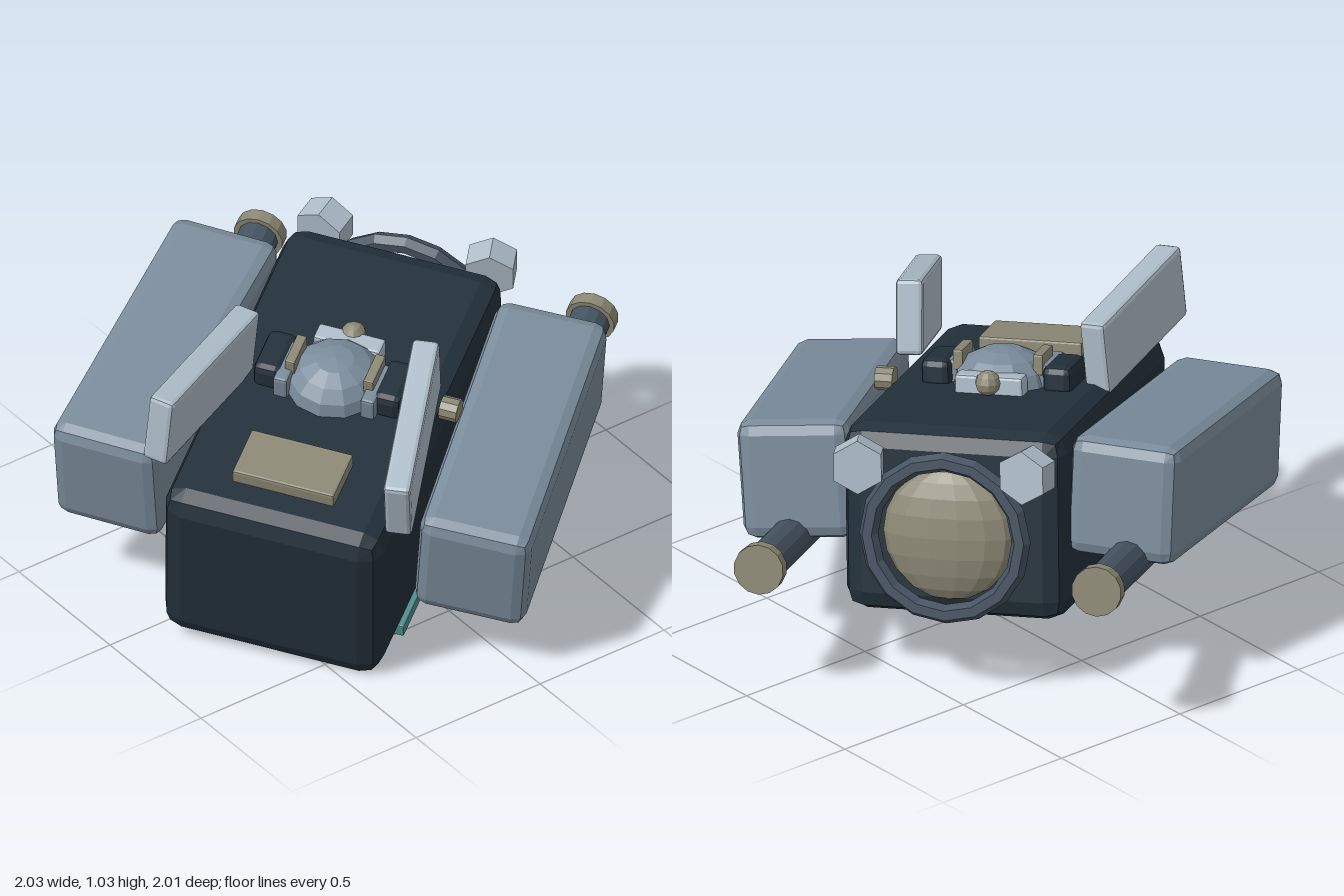
import * as THREE from 'three';
import { RoundedBoxGeometry } from 'three/addons/geometries/RoundedBoxGeometry.js';

const paint = (name, color) => {
  const m = new THREE.MeshStandardMaterial({ color, flatShading: true });
  m.name = name;
  return m;
};

export function createModel() {
  const dark = paint('dark hull', 0x22303a);
  const grey = paint('blue grey', 0x7a8b9a);
  const light = paint('light grey', 0xadbcc8);
  const steel = paint('dark steel', 0x455361);
  const tan = paint('tan', 0x8b8774);
  const teal = paint('teal', 0x4f8c8c);

  const model = new THREE.Group();
  model.name = 'model';
  // Craft frame: nose towards -z, centred on its own middle plane
  const craft = new THREE.Group();
  craft.name = 'craft';
  craft.rotation.set(0.18, 0.602, -0.063, 'YXZ');
  model.add(craft);

  const MID = -0.065;
  function add(name, geometry, material, x, y, z, rx = 0, ry = 0, rz = 0) {
    const mesh = new THREE.Mesh(geometry, material);
    mesh.name = name;
    mesh.position.set(MID + x, y, z);
    mesh.rotation.set(rx, ry, rz, 'YXZ');
    craft.add(mesh);
    return mesh;
  }
  const box = (w, h, d, r) => new RoundedBoxGeometry(w, h, d, 1, r);
  const rod = (r, length, sides) =>
    new THREE.CylinderGeometry(r, r, length, sides).rotateX(Math.PI / 2);

  // Hull with hatch plates above and below
  add('hull', box(0.75, 0.63, 1.315, 0.07), dark, 0, 0.445, 0.057);
  add('topPlate', box(0.35, 0.06, 0.2, 0.008), tan, 0, 0.775, 0.466);
  add('bottomPlate', box(0.37, 0.03, 0.21, 0.005), tan, 0, 0.13, 0.466);

  // Nose lens in a free-standing ring
  add('noseRing', new THREE.TorusGeometry(0.257, 0.032, 6, 16), steel, 0, 0.425, -0.68);
  const lens = add('noseLens', new THREE.SphereGeometry(0.222, 14, 10), tan, 0, 0.425, -0.63);
  lens.scale.z = 0.35;

  // Parts on both sides
  for (const s of [-1, 1]) {
    const side = s > 0 ? 'right' : 'left';
    add(side + 'Pod', box(0.375, 0.4, 1.05, 0.045), grey, s * 0.59, 0.535, 0.0, 0, s * 0.075, s * -0.055);
    add(side + 'Barrel', rod(0.068, 0.78, 12), steel, s * 0.57, 0.34, -0.48);
    add(side + 'BarrelCap', rod(0.084, 0.045, 14), tan, s * 0.57, 0.34, -0.875);
    add(side + 'Strip', box(0.06, 0.045, 0.91, 0.006), teal, s * 0.365, 0.175, 0.05);
    add(side + 'NoseLamp', rod(0.09, 0.09, 6), light, s * 0.285, 0.66, -0.695, 0, s * 0.19, 0);
    // Flaps are raised to different pitches
    add(side + 'Flap', box(0.09, 0.25, 0.61, 0.015), light, s * 0.362, 0.91, 0.325, s > 0 ? 0.14 : -0.19, s * 0.168, 0);
    // Turret cheeks
    add(side + 'TurretBlock', box(0.1, 0.1, 0.19, 0.025), dark, s * 0.205, 0.79, 0.04);
    add(side + 'TurretBracket', box(0.05, 0.09, 0.18, 0.01), grey, s * 0.15, 0.79, 0.07);
    add(side + 'TurretPeg', box(0.035, 0.07, 0.13, 0.006), tan, s * 0.135, 0.835, 0.04);
  }

  // Turret dome, brow bar and small eye
  const dome = add('turretDome', new THREE.SphereGeometry(0.165, 12, 8), grey, 0, 0.76, 0.04);
  dome.scale.y = 0.7;
  add('turretBar', box(0.23, 0.07, 0.07, 0.01), light, 0, 0.785, -0.105);
  add('turretEye', new THREE.SphereGeometry(0.042, 10, 6), tan, 0, 0.8, -0.145);

  // Knob on the right shoulder
  add('shoulderKnob', new THREE.CylinderGeometry(0.04, 0.04, 0.06, 10).rotateZ(Math.PI / 2), tan, 0.39, 0.745, 0.02);

  return model;
}
